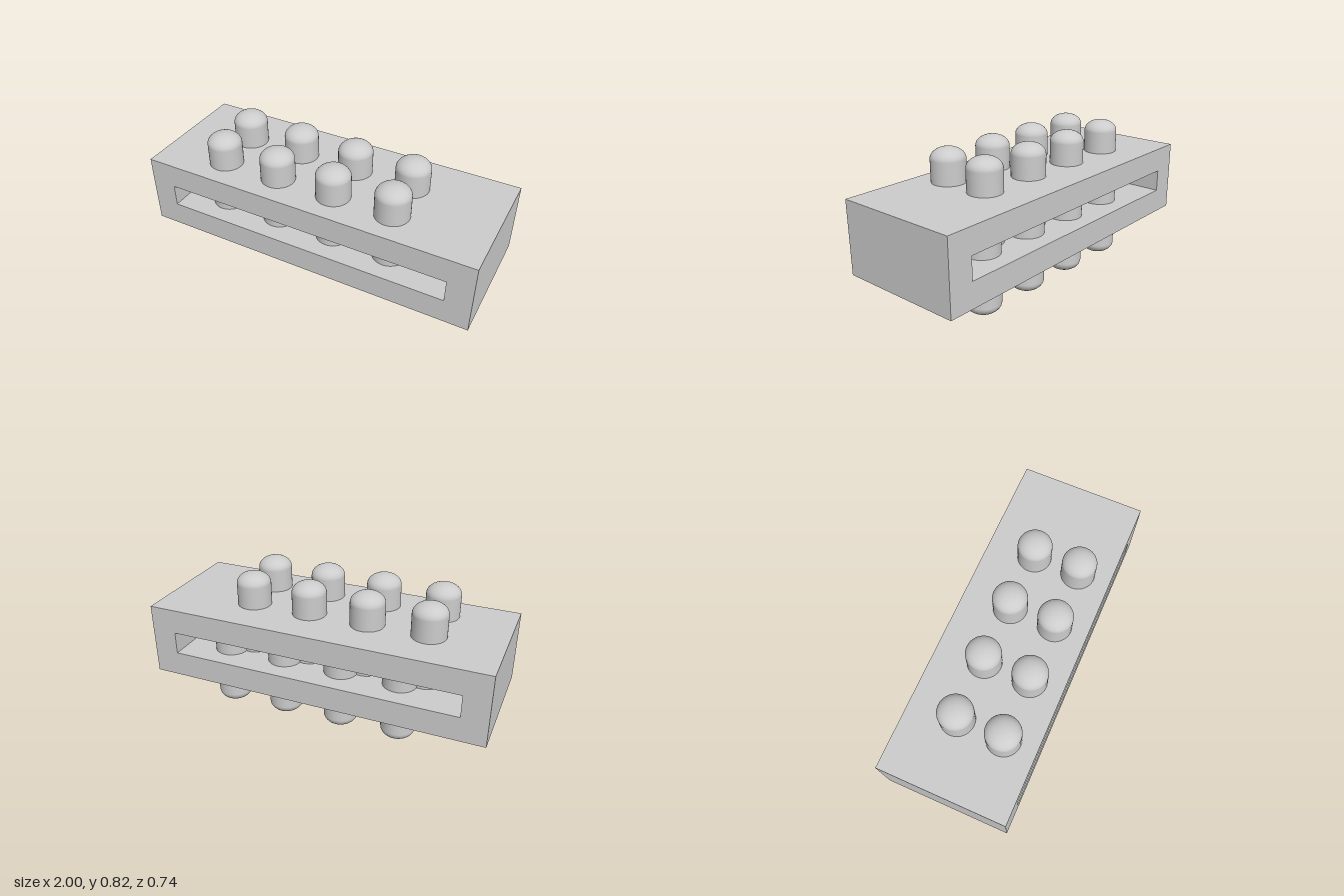
import * as THREE from 'three';

export function createModel() {
  const model = new THREE.Group();
  const grey = new THREE.MeshStandardMaterial({ color: 0xcccccc });
  grey.name = 'light grey';

  // Block with a long slot running from front to back
  const rect = (path, x, y0, y1) =>
    path.moveTo(-x, y0).lineTo(x, y0).lineTo(x, y1).lineTo(-x, y1).closePath();
  const outline = rect(new THREE.Shape(), 1, 0.198, 0.624);
  outline.holes.push(rect(new THREE.Path(), 0.852, 0.345, 0.477));
  const block = new THREE.Mesh(
    new THREE.ExtrudeGeometry(outline, { depth: 0.744, bevelEnabled: false }).translate(0, 0, -0.372),
    grey
  );
  block.name = 'slottedBlock';
  model.add(block);

  // Peg: straight shaft with a shallow domed end, tip at y = 0 and shaft going down
  const radius = 0.099, dome = 0.065, length = 0.55, steps = 12;
  const base = new THREE.Vector2(radius, -length);
  const profile = [new THREE.Vector2(0, -length), base, base.clone()];
  for (let i = 0; i <= steps; i++) {
    const a = (i / steps) * Math.PI / 2;
    profile.push(new THREE.Vector2(i === steps ? 0 : radius * Math.cos(a), dome * (Math.sin(a) - 1)));
  }
  const pegGeometry = new THREE.LatheGeometry(profile, 40);

  // Two rows of four pegs; the lower set is offset and turned upside down
  function addPegs(name, firstX, rows, tipY, flipped) {
    const group = new THREE.Group();
    group.name = name;
    for (const z of rows) {
      for (let i = 0; i < 4; i++) {
        const peg = new THREE.Mesh(pegGeometry, grey);
        peg.name = 'peg';
        peg.position.set(firstX + i * 0.351, tipY, z);
        if (flipped) peg.rotation.x = Math.PI;
        group.add(peg);
      }
    }
    model.add(group);
  }
  addPegs('upperPegs', -0.59, [0.179, -0.092], 0.82, false);
  addPegs('lowerPegs', -0.469, [0.092, -0.179], 0, true);

  return model;
}
